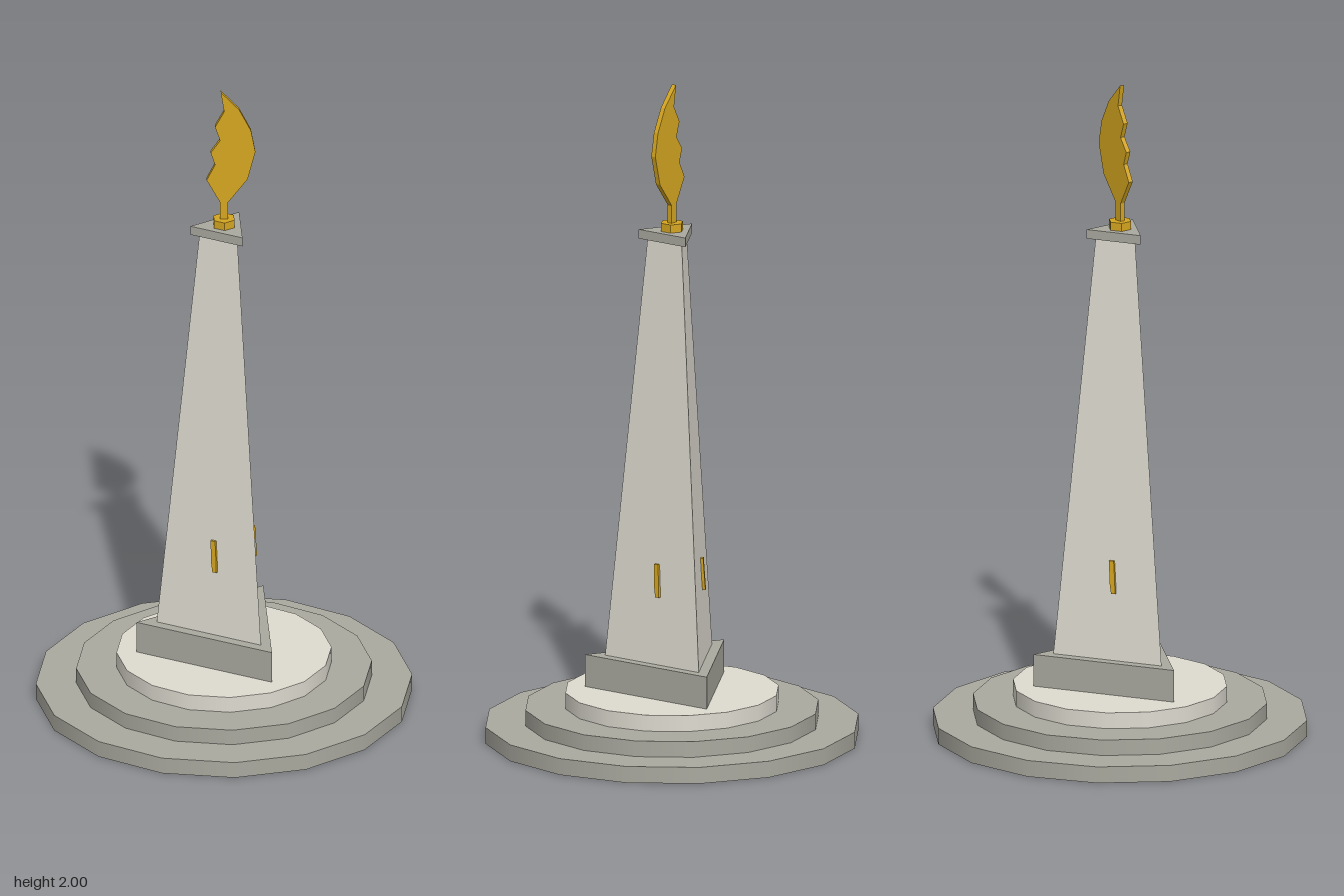
import * as THREE from 'three';

const lightStone = new THREE.MeshStandardMaterial({ color: 0xdedbd0 });
lightStone.name = 'light stone';
const greyStone = new THREE.MeshStandardMaterial({ color: 0xaaa99f });
greyStone.name = 'grey stone';
const gold = new THREE.MeshStandardMaterial({ color: 0xd4a520 });
gold.name = 'gold';

export function createModel() {
  const model = new THREE.Group();
  model.name = 'flameMonument';

  const add = (name, geometry, material, parent = model) => {
    const mesh = new THREE.Mesh(geometry, material);
    mesh.name = name;
    parent.add(mesh);
    return mesh;
  };

  // Upright prism or frustum between two heights
  const column = (name, rTop, rBottom, y0, y1, sides, material, start = 0) => {
    let g = new THREE.CylinderGeometry(rTop, rBottom, y1 - y0, sides, 1, false, start);
    if (sides < 8) {
      g = g.toNonIndexed();
      g.computeVertexNormals();
    }
    return add(name, g.translate(0, (y0 + y1) / 2, 0), material);
  };

  // Plate cut from an outline, centred on z = 0
  const plate = (points, depth) => {
    const shape = new THREE.Shape(points.map(([x, y]) => new THREE.Vector2(x, y)));
    return new THREE.ExtrudeGeometry(shape, { depth, bevelEnabled: false })
      .translate(0, 0, -depth / 2);
  };

  // Round steps
  column('lowerStep', 0.56, 0.56, 0, 0.05, 16, greyStone);
  column('middleStep', 0.44, 0.44, 0.05, 0.098, 16, greyStone);
  column('upperStep', 0.32, 0.32, 0.098, 0.147, 16, lightStone);

  // Three-sided obelisk with one edge towards -x
  const edge = Math.PI * 1.5;
  column('plinth', 0.26, 0.26, 0.147, 0.245, 3, greyStone, edge);
  column('shaft', 0.073, 0.2, 0.245, 1.527, 3, lightStone, edge);
  column('cap', 0.1, 0.1, 1.527, 1.555, 3, greyStone, edge);

  // Flame on a hexagonal collar
  column('flameCollar', 0.035, 0.035, 1.555, 1.58, 6, gold);
  add('flame', plate([
    [-0.012, 1.575], [0.012, 1.575], [0.012, 1.635], [0.07, 1.71],
    [0.093, 1.8], [0.08, 1.87], [0.045, 1.94], [-0.01, 2],
    [0, 1.935], [-0.027, 1.885], [-0.012, 1.84], [-0.04, 1.8],
    [-0.027, 1.76], [-0.052, 1.71], [-0.012, 1.635],
  ], 0.015), gold);

  // A small leaning emblem on each face of the shaft
  const emblem = plate([
    [0.002, 0.05], [0.006, -0.02], [0.011, -0.05],
    [0.024, -0.05], [0.021, 0], [0.017, 0.05],
  ], 0.016);
  for (let i = 0; i < 3; i++) {
    const face = new THREE.Group();
    face.name = 'emblemFace';
    face.rotation.y = Math.PI / 2 + (i * Math.PI * 2) / 3;
    const mesh = add('emblem', emblem, gold, face);
    mesh.position.set(0, 0.5, 0.088);
    mesh.rotation.x = -0.06;
    model.add(face);
  }

  return model;
}
